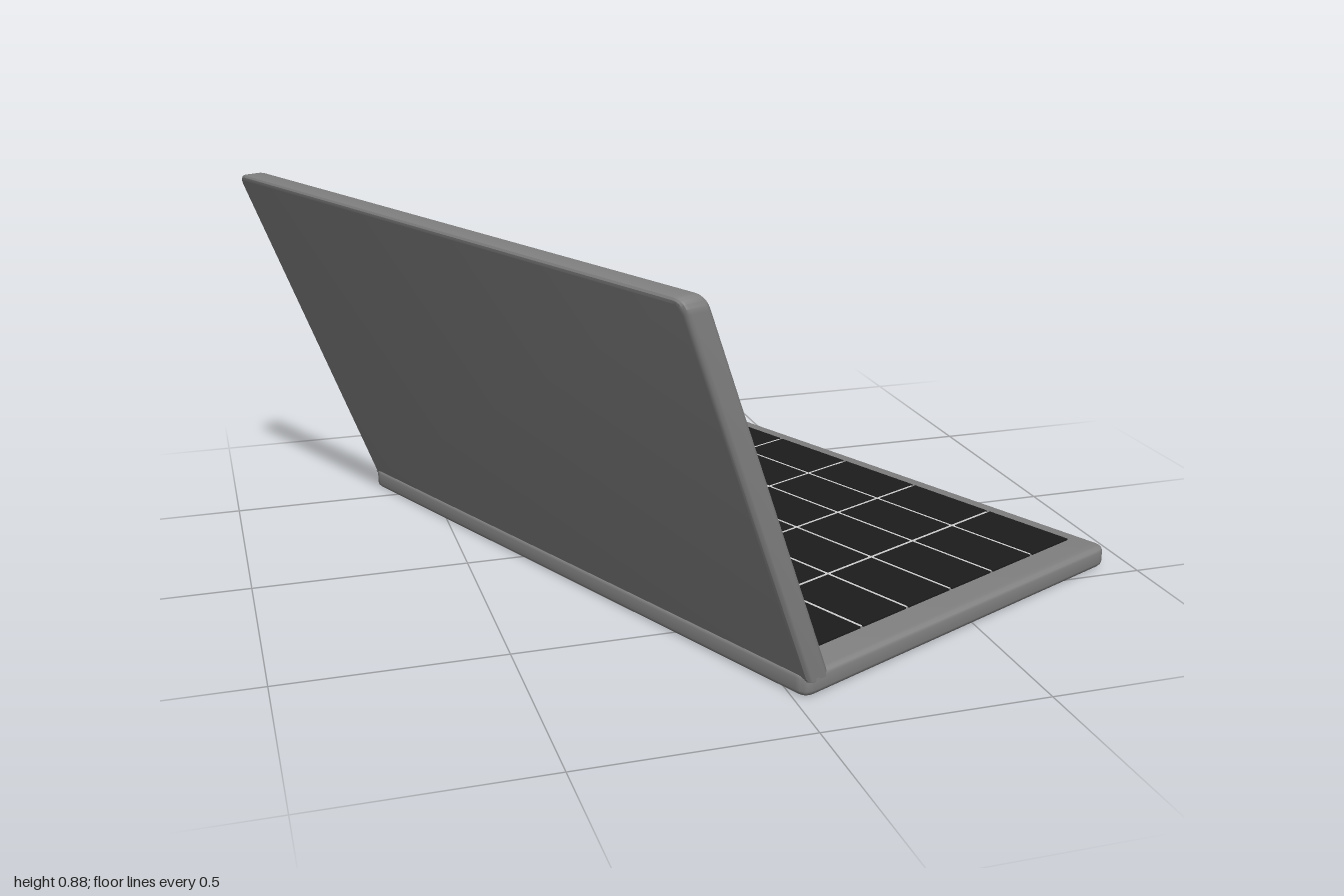
import * as THREE from 'three';
import { toCreasedNormals } from 'three/addons/utils/BufferGeometryUtils.js';

const HALF = 0.8;          // half length along the hinge
const LEAN = 0.403;        // backward lean of the screen per unit of height
const HINGE_Y = 0.05;      // top of the base

const mat = (color) => new THREE.MeshStandardMaterial({ color });

// Rectangle with individually rounded lower and upper corners
function roundedRect(x0, x1, y0, y1, rLow, rTop) {
  const s = new THREE.Shape();
  s.moveTo(x0 + rLow, y0);
  s.lineTo(x1 - rLow, y0);
  s.quadraticCurveTo(x1, y0, x1, y0 + rLow);
  s.lineTo(x1, y1 - rTop);
  s.quadraticCurveTo(x1, y1, x1 - rTop, y1);
  s.lineTo(x0 + rTop, y1);
  s.quadraticCurveTo(x0, y1, x0, y1 - rTop);
  s.lineTo(x0, y0 + rLow);
  s.quadraticCurveTo(x0, y0, x0 + rLow, y0);
  return s;
}

// Slab with softened rims, from z = 0 to z = thickness
function slab(shape, thickness, bevel) {
  return new THREE.ExtrudeGeometry(shape, {
    depth: thickness - 2 * bevel, bevelThickness: bevel, bevelSize: bevel,
    bevelOffset: -bevel, bevelSegments: 3, curveSegments: 5,
  }).translate(0, 0, bevel);
}

// Lean an upright geometry backwards, keeping its top level
function lean(geo) {
  const p = geo.attributes.position;
  for (let i = 0; i < p.count; i++) {
    p.setX(i, p.getX(i) - (p.getY(i) - HINGE_Y) * LEAN);
  }
  geo.computeVertexNormals();
  return geo;
}

export function createModel() {
  const model = new THREE.Group();
  model.name = 'laptop';
  const caseMat = mat(0x808080), panelMat = mat(0xcccccc), keyMat = mat(0x1c1c1c);

  const add = (name, geo, material, parent = model) => {
    const mesh = new THREE.Mesh(geo, material);
    mesh.name = name;
    parent.add(mesh);
    return mesh;
  };

  // Base
  const base = slab(roundedRect(-0.341, 0.675, -HALF, HALF, 0.03, 0.03), 0.05, 0.012);
  add('base', toCreasedNormals(base.rotateX(-Math.PI / 2), 0.6), caseMat);

  // Screen lid, running down into the hinge edge of the base
  const lid = slab(roundedRect(-HALF, HALF, 0.03, 0.88, 0.002, 0.03), 0.063, 0.012);
  lid.rotateY(Math.PI / 2).translate(-0.34, 0, 0);
  add('lid', toCreasedNormals(lean(lid), 0.6), caseMat);

  // Display
  const display = new THREE.BoxGeometry(0.006, 0.76, 1.51).translate(-0.277, 0.47, 0);
  add('display', lean(display), panelMat);

  // Keyboard: light bed showing between six by six keys
  const v0 = -0.23, v1 = 0.63, u1 = 0.72, n = 6, gap = 0.01;
  const bed = new THREE.BoxGeometry(v1 - v0 - gap, 0.004, 2 * u1 - gap);
  add('keyBed', bed.translate((v0 + v1) / 2, 0.05, 0), panelMat);
  const keys = new THREE.Group();
  keys.name = 'keys';
  model.add(keys);
  const w = (v1 - v0 + gap) / n, d = (2 * u1 + gap) / n;
  const key = new THREE.BoxGeometry(w - gap, 0.004, d - gap);
  for (let i = 0; i < n; i++) {
    for (let j = 0; j < n; j++) {
      add('key', key, keyMat, keys).position.set(
        v0 - gap / 2 + w * (i + 0.5), 0.052, -u1 - gap / 2 + d * (j + 0.5));
    }
  }

  // Turned on its stand plane
  model.rotation.y = THREE.MathUtils.degToRad(24.5);
  const root = new THREE.Group();
  root.name = 'openLaptop';
  root.add(model);
  return root;
}
